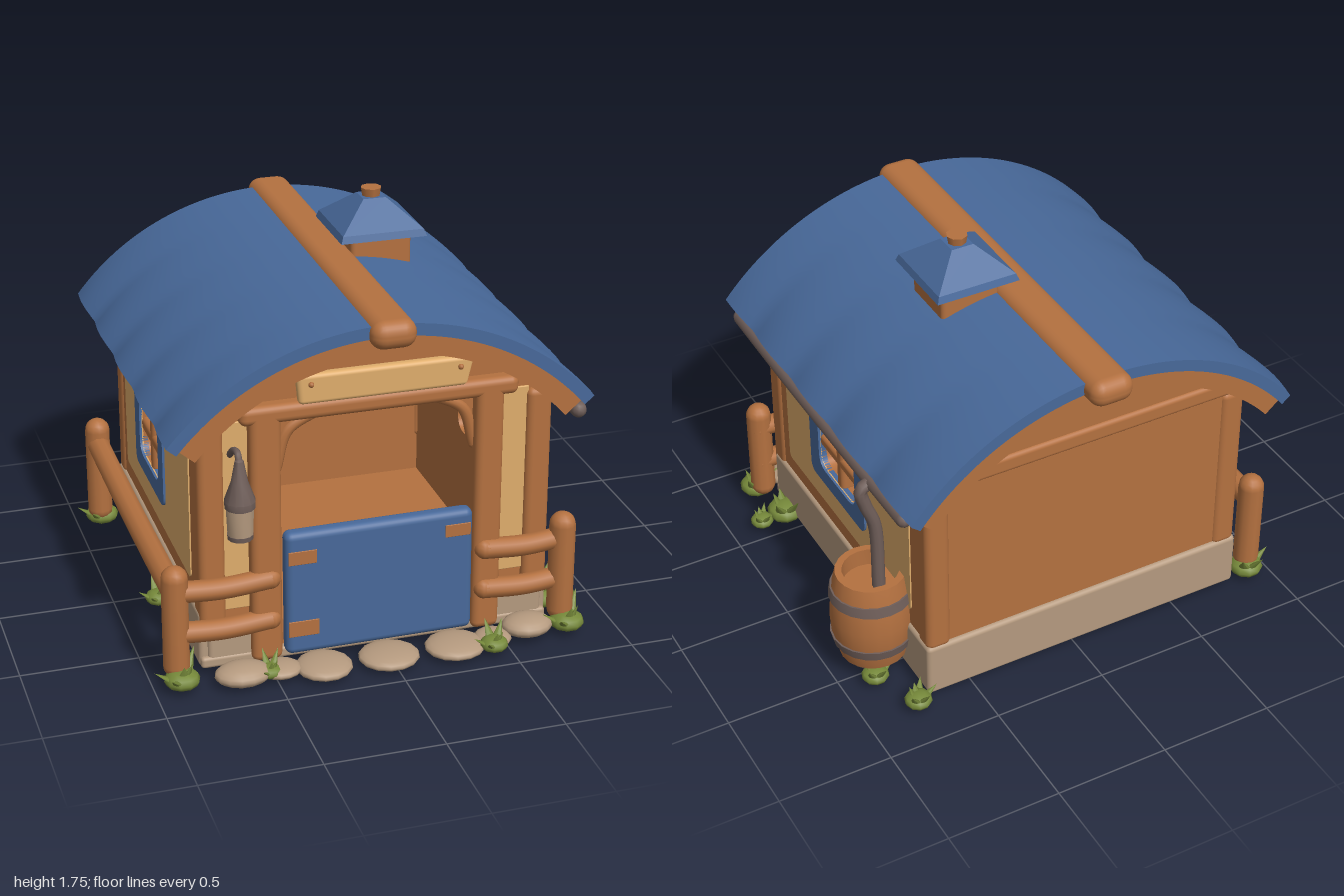
import * as THREE from 'three';
import { toCreasedNormals } from 'three/addons/utils/BufferGeometryUtils.js';
import { RoundedBoxGeometry } from 'three/addons/geometries/RoundedBoxGeometry.js';

const mat = (name, color, side = THREE.FrontSide) => {
  const m = new THREE.MeshStandardMaterial({ color, side });
  m.name = name;
  return m;
};

// centre of the roof arc
const CX = -0.045, CY = 0.363;

export function createModel() {
  const root = new THREE.Group();
  const wood = mat('wood', 0xb47140);
  const blue = mat('blue paint', 0x48699a);
  const plaster = mat('plaster', 0xdfad6c);
  const stone = mat('stone', 0xb59a7f);
  const metal = mat('dark metal', 0x6f5e59);
  const green = mat('grass', 0x76893a, THREE.DoubleSide);

  const add = (name, geo, material, parent = root) => {
    const m = new THREE.Mesh(geo, material);
    m.name = name;
    parent.add(m);
    return m;
  };
  // rounded block given by its limits
  const block = (name, material, x0, x1, y0, y1, z0, z1, r = 0.02, parent = root) => {
    const m = add(name, new RoundedBoxGeometry(x1 - x0, y1 - y0, z1 - z0, 3, r), material, parent);
    m.position.set((x0 + x1) / 2, (y0 + y1) / 2, (z0 + z1) / 2);
    return m;
  };
  // rectangle with rounded corners
  const rect = (x0, x1, y0, y1, r = 0.03) => {
    const s = new THREE.Shape();
    s.moveTo(x0 + r, y0).lineTo(x1 - r, y0).quadraticCurveTo(x1, y0, x1, y0 + r);
    s.lineTo(x1, y1 - r).quadraticCurveTo(x1, y1, x1 - r, y1);
    s.lineTo(x0 + r, y1).quadraticCurveTo(x0, y1, x0, y1 - r);
    s.lineTo(x0, y0 + r).quadraticCurveTo(x0, y0, x0 + r, y0);
    return s;
  };
  const slab = (shape, z0, depth, steps = 1) => {
    const g = new THREE.ExtrudeGeometry(shape, { depth, steps, bevelEnabled: false, curveSegments: 32 });
    return g.translate(0, 0, z0);
  };
  // tube along a smooth path with rounded ends
  const tube = (name, material, r, pts, parent = root) => {
    const path = pts.map((p) => new THREE.Vector3(...p));
    add(name, new THREE.TubeGeometry(new THREE.CatmullRomCurve3(path), 24, r, 10), material, parent);
    for (const end of [path[0], path[path.length - 1]]) {
      add(name + 'End', new THREE.SphereGeometry(r, 10, 8), material, parent).position.copy(end);
    }
  };
  const lathe = (name, material, pts, sides, parent) =>
    add(name, toCreasedNormals(new THREE.LatheGeometry(pts.map((p) => new THREE.Vector2(...p)), sides), 0.6), material, parent);

  // stone footing and wooden floor
  block('base', stone, -0.79, 0.71, 0.05, 0.1, -0.79, 0.74, 0.015);
  block('floor', wood, -0.73, 0.65, 0.09, 0.115, -0.72, 0.68, 0.005);
  block('backFooting', stone, -0.79, 0.71, 0.05, 0.3, -0.79, -0.71);
  block('leftFooting', stone, -0.795, -0.72, 0.05, 0.3, -0.79, 0.72);
  block('rightFooting', stone, 0.64, 0.715, 0.05, 0.3, -0.79, 0.72);
  block('frontFootingLeft', stone, -0.76, -0.5, 0.05, 0.2, 0.66, 0.735);
  block('frontFootingRight', stone, 0.42, 0.69, 0.05, 0.2, 0.66, 0.735);

  // arched end walls, the front one with a doorway
  const gable = () => {
    const s = new THREE.Shape(), a = Math.acos(0.735 / 1.04);
    s.moveTo(-0.78, 0.08).lineTo(0.69, 0.08);
    s.absarc(CX, CY, 1.04, a, Math.PI - a, false);
    s.closePath();
    return s;
  };
  add('backWall', slab(gable(), -0.77, 0.08), wood);
  const front = gable();
  front.holes.push(rect(-0.45, 0.37, 0.1, 1.13, 0.2));
  add('frontWall', slab(front, 0.63, 0.08), wood);
  block('backBeam', wood, -0.78, 0.7, 1.09, 1.17, -0.785, -0.72);

  // side walls: plaster panel, nearly flush blue window frame and thick wooden glazing bars
  for (const s of [1, -1]) {
    const side = new THREE.Group();
    side.name = s > 0 ? 'leftSideWall' : 'rightSideWall';
    side.position.x = s > 0 ? 0.7 : -0.78;
    side.rotation.y = s * Math.PI / 2;
    root.add(side);
    const c = -s * (s > 0 ? 0.04 : -0.12);
    const hole = () => rect(c - 0.175, c + 0.175, 0.575, 0.84, 0.07);
    const span = (za, zb) => [Math.min(-s * za, -s * zb), Math.max(-s * za, -s * zb)];
    const panel = (name, material, u, y0, y1, z0, depth, r) => {
      const shape = rect(u[0], u[1], y0, y1, r);
      shape.holes.push(hole());
      add(name, slab(shape, z0, depth), material, side);
    };
    panel('sideWall', wood, span(-0.76, 0.71), 0.1, 1.1, -0.08, 0.08, 0.005);
    panel('plasterPanel', plaster, span(-0.62, 0.56), 0.38, 1.08, 0, 0.006, 0.03);
    panel('windowFrame', blue, [c - 0.26, c + 0.26], 0.5, 0.91, -0.02, 0.036, 0.05);
    block('uprightBar', wood, c - 0.03, c + 0.03, 0.56, 0.86, -0.065, 0.004, 0.02, side);
    block('crossBar', wood, c - 0.19, c + 0.19, 0.675, 0.735, -0.065, 0.004, 0.02, side);
  }

  // corner posts, door posts and front panels
  for (const [x0, x1] of [[-0.79, -0.68], [0.6, 0.71]]) {
    block('frontCornerPost', wood, x0, x1, 0.18, 1.12, 0.62, 0.74, 0.03);
    block('backCornerPost', wood, x0, x1, 0.28, 1.1, -0.785, -0.68, 0.03);
  }
  block('doorPost', wood, -0.58, -0.45, 0.06, 1.2, 0.64, 0.77, 0.03);
  block('doorPost', wood, 0.37, 0.49, 0.06, 1.2, 0.64, 0.77, 0.03);
  block('frontPanel', plaster, -0.69, -0.57, 0.3, 1.13, 0.7, 0.718, 0.004);
  block('frontPanel', plaster, 0.48, 0.61, 0.3, 1.13, 0.7, 0.718, 0.004);
  block('doorHeader', wood, -0.62, 0.55, 1.12, 1.2, 0.66, 0.77, 0.03);
  for (const [x, d] of [[-0.46, 1], [0.38, -1]]) {
    tube('doorBrace', wood, 0.025, [[x, 0.9, 0.7], [x + d * 0.05, 1.06, 0.7], [x + d * 0.19, 1.14, 0.7]]);
  }

  // half door with wooden straps
  const door = block('halfDoor', blue, -0.44, 0.365, 0.075, 0.63, 0.7, 0.775, 0.03);
  door.rotation.z = 0.005;
  block('doorStrap', wood, -0.43, -0.31, 0.49, 0.55, 0.773, 0.779, 0.002);
  block('doorStrap', wood, -0.43, -0.3, 0.16, 0.23, 0.773, 0.779, 0.002);
  block('doorStrap', wood, 0.24, 0.35, 0.52, 0.575, 0.773, 0.779, 0.002);

  // blank sign board, slightly bowed and wider at the top
  const sign = new RoundedBoxGeometry(0.72, 0.14, 0.05, 4, 0.02);
  const sp = sign.attributes.position;
  for (let i = 0; i < sp.count; i++) {
    const x = sp.getX(i), y = sp.getY(i);
    sp.setXYZ(i, x * (1 + y * 0.4), y - 0.06 * x * x, sp.getZ(i) + y * 0.2);
  }
  add('signBoard', sign, plaster).position.set(-0.03, 1.27, 0.77);
  for (const x of [-0.34, 0.28]) {
    add('signPeg', new THREE.SphereGeometry(0.012, 8, 6), wood).position.set(x, 1.29, 0.805);
  }

  // roof shells, the eaves swelling into rows of tiles
  const arc = (r0, r1, half) => {
    const s = new THREE.Shape(), a = Math.PI / 2 - half, b = Math.PI / 2 + half;
    s.absarc(0, 0, r1, a, b, false);
    s.absarc(0, 0, r0, b, a, true);
    s.closePath();
    return s;
  };
  const shell = (r0, r1, half, z0, z1, swell) => {
    const g = slab(arc(r0, r1, half), z0, z1 - z0, 40);
    const p = g.attributes.position;
    for (let i = 0; i < p.count; i++) {
      const k = 1 + swell * Math.pow(Math.abs(p.getX(i)) / 0.875, 4) * (Math.abs(Math.sin((p.getZ(i) - 0.2) * Math.PI / 0.38)) - 0.7);
      p.setXY(i, p.getX(i) * k + CX, p.getY(i) * k + CY);
    }
    return toCreasedNormals(g, 0.5);
  };
  add('roofCovering', shell(1.105, 1.157, 0.875, -0.91, 0.84, 0.018), blue);
  add('roofLining', shell(1.04, 1.11, 0.85, -0.8, 0.73, 0), wood);
  add('frontBargeboard', shell(1.02, 1.11, 0.86, 0.72, 0.825, 0), wood);
  add('backBargeboard', shell(1.02, 1.11, 0.86, -0.895, -0.79, 0), wood);
  block('ridgeBeam', wood, -0.115, 0.075, 1.425, 1.545, -1, 0.9, 0.055);

  // chimney with a pyramid cap
  block('chimney', wood, 0.055, 0.32, 1.36, 1.6, -0.2, 0.065, 0.02);
  for (const [name, top, bottom, h, y] of [['chimneyCap', 0.07, 0.25, 0.11, 1.675], ['capRim', 0.25, 0.265, 0.03, 1.605]]) {
    const cap = new THREE.CylinderGeometry(top, bottom, h, 4).rotateY(Math.PI / 4);
    add(name, toCreasedNormals(cap, 0.5), blue).position.set(0.185, y, -0.075);
  }
  add('finial', new THREE.CylinderGeometry(0.045, 0.035, 0.06, 8), wood).position.set(0.185, 1.735, -0.075);

  // gutter, downpipe and water barrel
  tube('gutter', metal, 0.034, [[0.8, 1.03, 0.79], [0.805, 1.03, 0.3], [0.805, 1.03, -0.3], [0.8, 1.025, -0.77]]);
  tube('downpipe', metal, 0.028, [[0.8, 1.03, -0.5], [0.855, 1.0, -0.5], [0.84, 0.92, -0.5], [0.8, 0.8, -0.5], [0.79, 0.47, -0.5]]);
  const barrel = new THREE.Group();
  barrel.name = 'barrel';
  barrel.position.set(0.805, 0, -0.455);
  root.add(barrel);
  lathe('barrelBody', wood, [[0, 0.1], [0.145, 0.1], [0.172, 0.2], [0.18, 0.31], [0.172, 0.43], [0.15, 0.53], [0.12, 0.53], [0.12, 0.45], [0, 0.45]], 20, barrel);
  lathe('upperHoop', metal, [[0.17, 0.41], [0.182, 0.41], [0.174, 0.455], [0.16, 0.455]], 20, barrel);
  lathe('lowerHoop', metal, [[0.16, 0.17], [0.171, 0.17], [0.181, 0.215], [0.17, 0.215]], 20, barrel);
  add('barrelFoot', new THREE.CylinderGeometry(0.12, 0.1, 0.06, 10), metal, barrel).position.y = 0.075;

  // hanging lantern
  const lantern = new THREE.Group();
  lantern.name = 'lantern';
  lantern.position.set(-0.65, 0, 0.86);
  root.add(lantern);
  lathe('lanternGlass', stone, [[0, 0.71], [0.052, 0.71], [0.058, 0.84], [0, 0.84]], 12, lantern);
  lathe('lanternBase', metal, [[0, 0.695], [0.052, 0.695], [0.054, 0.715], [0, 0.715]], 12, lantern);
  lathe('lanternHood', metal, [[0, 0.83], [0.062, 0.83], [0.064, 0.86], [0.035, 0.94], [0.018, 1.03], [0, 1.04]], 12, lantern);
  tube('lanternHook', metal, 0.014, [[0, 1.01, 0], [0, 1.05, -0.02], [0, 1.04, -0.08], [0, 0.99, -0.15]], lantern);

  // fences
  for (const [x, z] of [[-0.9, 0.76], [-0.9, -0.73], [0.765, 0.76]]) {
    add('fencePost', new THREE.CapsuleGeometry(0.056, 0.39, 5, 12), wood).position.set(x, 0.303, z);
  }
  for (const [x0, x1] of [[-0.9, -0.5], [0.42, 0.77]]) {
    for (const y of [0.435, 0.25]) {
      tube('frontRail', wood, 0.045, [[x0, y, 0.76], [(x0 + x1) / 2, y - 0.01, 0.76], [x1, y, 0.75]]);
    }
  }
  tube('sideRail', wood, 0.05, [[-0.9, 0.43, -0.73], [-0.9, 0.42, 0], [-0.9, 0.43, 0.76]]);

  // stepping stones
  for (const [x, y, z, w, h, d] of [[-0.3, 0.045, 0.84, 0.12, 0.035, 0.12], [-0.02, 0.045, 0.84, 0.13, 0.035, 0.12],
    [0.27, 0.045, 0.84, 0.13, 0.035, 0.12], [0.6, 0.075, 0.81, 0.11, 0.045, 0.09], [-0.64, 0.06, 0.83, 0.12, 0.045, 0.09],
    [-0.48, 0.05, 0.82, 0.09, 0.03, 0.08], [0.44, 0.05, 0.83, 0.08, 0.03, 0.08]]) {
    const s = add('steppingStone', new THREE.SphereGeometry(1, 14, 10), stone);
    s.position.set(x, y, z);
    s.scale.set(w, h, d);
  }

  // grass tufts: broad leaning blades around a low mound
  const tuft = (x, z, size = 1) => {
    const g = new THREE.Group();
    g.name = 'grassTuft';
    g.position.set(x, 0.045, z);
    g.scale.setScalar(size);
    root.add(g);
    add('mound', new THREE.SphereGeometry(0.075, 10, 6).scale(1, 0.55, 1).translate(0, 0.02, 0), green, g);
    for (let i = 0; i < 6; i++) {
      const h = 0.11 + 0.05 * ((i * 5) % 3) / 2;
      const b = add('blade', new THREE.ConeGeometry(0.042, h, 8).scale(1, 1, 0.5).translate(0, h / 2, 0.01), green, g);
      b.rotation.set(0.35 + 0.3 * (i % 3), i * 2.4, 0, 'YXZ');
    }
  };
  for (const t of [[-0.89, 0.81], [-0.89, -0.75], [0.78, 0.81], [0.86, 0.57, 0.7], [0.42, 0.9, 0.8], [0.85, -0.33],
    [0.74, -0.06], [0.74, -0.15, 0.8], [0.74, 0.58, 1.1], [0.77, -0.8, 0.8], [-0.53, 0.84, 0.7], [-0.82, 0.1, 0.8], [0.86, -0.58, 0.8]]) tuft(...t);

  return root;
}
